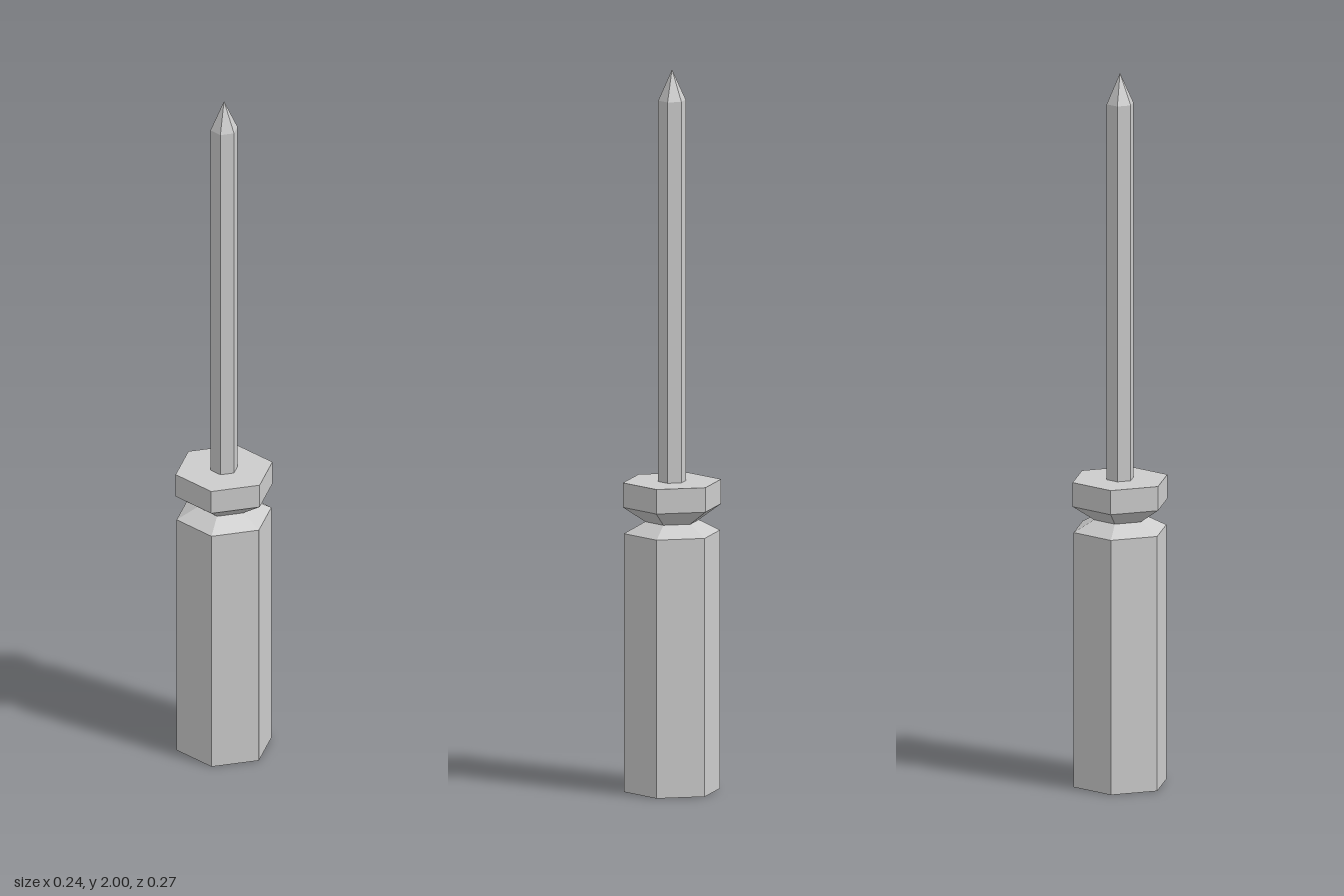
import * as THREE from 'three';

const SIDES = 6;

// Hexagonal turned part from [radius, height] pairs, with corners on the z axis
function hexPart(name, profile, material) {
  const points = profile.map(([r, y]) => new THREE.Vector2(r, y));
  const mesh = new THREE.Mesh(new THREE.LatheGeometry(points, SIDES), material);
  mesh.name = name;
  return mesh;
}

export function createModel() {
  const model = new THREE.Group();
  model.name = 'screwdriver';
  const grey = new THREE.MeshStandardMaterial({ color: 0xcccccc, flatShading: true });

  // Grip, pinched neck and collar in one profile
  model.add(hexPart('handle', [
    [0, 0], [0.134, 0], [0.134, 0.717],
    [0.075, 0.748],
    [0.137, 0.79], [0.137, 0.858], [0, 0.858],
  ], grey));

  // Slim shaft with a pointed tip
  model.add(hexPart('shaft', [
    [0.0385, 0.858], [0.0385, 1.915], [0, 2],
  ], grey));

  return model;
}
